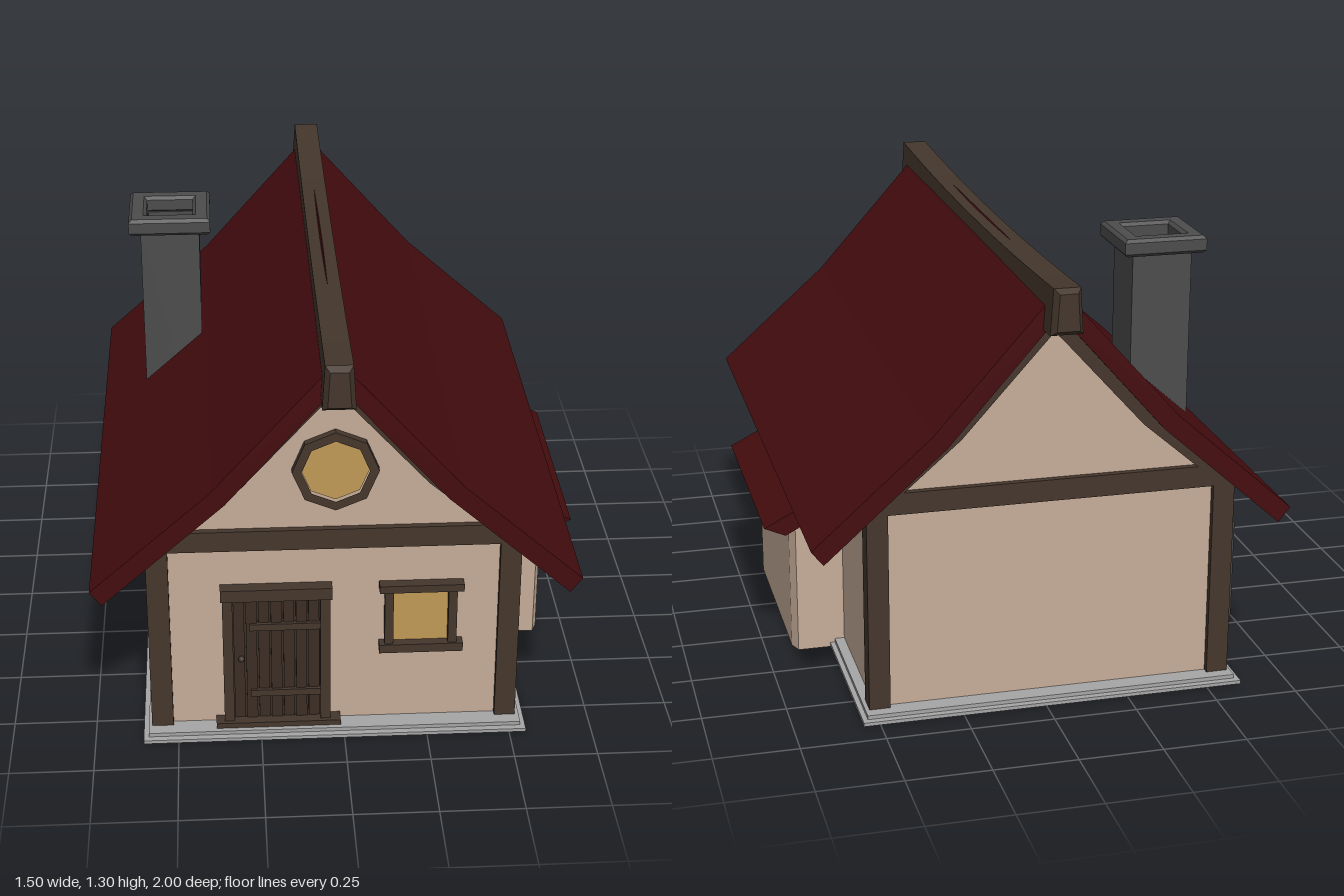
import * as THREE from 'three';

const mat = (name, color, side = THREE.FrontSide) => {
  const m = new THREE.MeshStandardMaterial({ color, side });
  m.name = name;
  return m;
};

export function createModel() {
  const root = new THREE.Group();
  root.name = 'cottage';
  const plaster = mat('plaster', 0xc6ad99);
  const timber = mat('timber', 0x44362c);
  const doorWood = mat('doorWood', 0x3b2d24);
  const tiles = mat('roofTiles', 0x450c0f);
  const stone = mat('chimneyStone', 0x4c4c4c, THREE.DoubleSide);
  const slab = mat('plinthStone', 0xa6a6a6);
  const glass = mat('glass', 0xc09a56);
  const CX = -0.025; // centre line of the house

  const add = (name, geo, material, parent = root) => {
    const m = new THREE.Mesh(geo, material);
    m.name = name;
    parent.add(m);
    return m;
  };
  // box given by its limits
  const box = (name, material, [x0, x1], [y0, y1], [z0, z1], parent) => {
    const g = new THREE.BoxGeometry(x1 - x0, y1 - y0, z1 - z0);
    g.translate((x0 + x1) / 2, (y0 + y1) / 2, (z0 + z1) / 2);
    return add(name, g, material, parent);
  };
  const poly = (pts) => new THREE.Shape(pts.map((p) => new THREE.Vector2(...p)));
  const prism = (shape, z0, z1) =>
    new THREE.ExtrudeGeometry(shape, { depth: z1 - z0, bevelEnabled: false, curveSegments: 6 }).translate(0, 0, z0);
  // half profile from ridge to eave, mirrored about the centre line
  const mirrored = (half) => [
    ...half.slice().reverse().map(([x, y]) => [CX + x, y]),
    ...half.filter(([x]) => x > 0).map(([x, y]) => [CX - x, y]),
  ];
  // flat-shaded loft through rings that run counter-clockwise seen from above
  const loft = (rings, skip = '') => {
    const pos = [];
    const tri = (...ps) => ps.forEach((p) => pos.push(...p));
    const n = rings[0].length;
    for (let r = 0; r < rings.length - 1; r++) {
      for (let i = 0; i < n; i++) {
        if (`${r}:${i}` === skip) continue;
        const j = (i + 1) % n;
        const [a, b, c, d] = [rings[r][i], rings[r][j], rings[r + 1][j], rings[r + 1][i]];
        tri(a, b, c);
        tri(a, c, d);
      }
    }
    const top = rings[rings.length - 1], bot = rings[0];
    for (let i = 1; i < n - 1; i++) {
      tri(top[0], top[i], top[i + 1]);
      tri(bot[0], bot[i + 1], bot[i]);
    }
    const g = new THREE.BufferGeometry();
    g.setAttribute('position', new THREE.Float32BufferAttribute(pos, 3));
    g.computeVertexNormals();
    return g;
  };

  // plinth in two steps
  box('plinthLower', slab, [-0.605, 0.55], [0.003, 0.014], [-0.92, 0.88]);
  box('plinthUpper', slab, [-0.59, 0.535], [0.014, 0.026], [-0.9, 0.86]);

  // walls with both gables
  const wallHalf = [[0, 1.19], [0.31, 0.835], [0.53, 0.635], [0.53, 0.02]];
  add('walls', prism(poly(mirrored(wallHalf)), -0.845, 0.8), plaster);

  // roof
  const roofTop = [[0, 1.28], [0.36, 0.875], [0.715, 0.56]];
  const roofUnder = [[0, 1.2], [0.32, 0.835], [0.68, 0.515]];
  const roofPts = [...mirrored(roofTop), ...mirrored(roofUnder).reverse()];
  add('roof', prism(poly(roofPts), -0.91, 0.91), tiles);

  // sagging ridge beam with chamfered edges
  const ridgeShape = poly([[-0.033, 1.155], [0.033, 1.155], [0.026, 1.262], [-0.026, 1.262]]);
  const ridge = new THREE.ExtrudeGeometry(ridgeShape, {
    depth: 1.96, steps: 12, bevelThickness: 0.02, bevelSize: 0.014, bevelSegments: 1,
  }).translate(CX, 0, -0.98);
  const rp = ridge.attributes.position;
  for (let i = 0; i < rp.count; i++) rp.setY(i, rp.getY(i) + 0.024 * rp.getZ(i) ** 2);
  ridge.computeVertexNormals();
  add('ridgeBeam', ridge, timber);

  // timber framing of both ends
  const rafterIn = [[0, 1.14], [0.27, 0.84], [0.45, 0.685]];
  const rafterOut = [[0, 1.2], [0.32, 0.835], [0.5, 0.675]];
  const rafterPts = [...mirrored(rafterOut), ...mirrored(rafterIn).reverse()];
  const tie = mirrored([[0.48, 0.695], [0.553, 0.63]]);
  const tiePts = [tie[0], tie[1], tie[2], tie[3]];
  for (const [end, z0, z1] of [['front', 0.765, 0.82], ['back', -0.865, -0.8]]) {
    add(`${end}Rafters`, prism(poly(rafterPts), z0, z1), timber);
    add(`${end}TieBeam`, prism(poly(tiePts), z0, z1), timber);
    box(`${end}RightPost`, timber, [-0.58, -0.515], [0.024, 0.635], [z0, z1]);
    box(`${end}LeftPost`, timber, [0.46, 0.523], [0.024, 0.635], [z0, z1]);
  }

  // octagonal gable window
  const octagon = (r) => Array.from({ length: 8 }, (_, i) => {
    const a = (i * Math.PI) / 4;
    return [CX + r * Math.sin(a), 0.887 + r * Math.cos(a)];
  });
  const ring = poly(octagon(0.126));
  ring.holes.push(new THREE.Path(octagon(0.098).map((p) => new THREE.Vector2(...p))));
  add('gableWindowFrame', prism(ring, 0.795, 0.825), timber);
  add('gableWindowGlass', prism(poly(octagon(0.1)), 0.799, 0.806), glass);

  // front window
  const win = new THREE.Group();
  win.name = 'frontWindow';
  root.add(win);
  box('windowGlass', glass, [0.14, 0.32], [0.29, 0.49], [0.799, 0.806], win);
  box('windowSill', timber, [0.105, 0.355], [0.272, 0.3], [0.795, 0.835], win);
  box('windowHead', timber, [0.105, 0.355], [0.48, 0.504], [0.795, 0.835], win);
  for (const x of [0.121, 0.31]) box('windowJamb', timber, [x, x + 0.026], [0.3, 0.48], [0.795, 0.828], win);

  // plank door
  const door = new THREE.Group();
  door.name = 'door';
  root.add(door);
  box('threshold', timber, [-0.385, -0.01], [0.025, 0.043], [0.795, 0.845], door);
  box('lintel', timber, [-0.365, -0.035], [0.468, 0.507], [0.795, 0.84], door);
  for (const x of [-0.36, -0.07]) box('doorJamb', timber, [x, x + 0.03], [0.04, 0.47], [0.795, 0.832], door);
  box('doorBack', doorWood, [-0.33, -0.07], [0.04, 0.47], [0.795, 0.806], door);
  const planks = 7, pw = 0.26 / planks;
  for (let i = 0; i < planks; i++) {
    const x = -0.33 + i * pw;
    box('plank', doorWood, [x + 0.002, x + pw - 0.003], [0.045, 0.468], [0.8, 0.815 + 0.003 * (i % 2)], door);
  }
  for (const y of [0.125, 0.358]) box('crossBar', timber, [-0.28, -0.07], [y, y + 0.022], [0.81, 0.826], door);
  add('doorKnob', new THREE.SphereGeometry(0.01, 8, 6).translate(-0.306, 0.26, 0.825), timber, door);

  // side bay with its lean-to roof
  const bayPlan = [[0.365, 0.32], [0.65, 0.32], [0.665, 0.285], [0.665, -0.325], [0.65, -0.365], [0.365, -0.365]];
  add('bay', loft([
    bayPlan.map(([x, z]) => [x, 0, z]),
    bayPlan.map(([x, z]) => [x, 0.42 + (0.665 - x) * 0.52, z]),
  ]), plaster);
  const bayRoof = poly([[0.42, 0.61], [0.42, 0.545], [0.52, 0.49], [0.685, 0.403], [0.75, 0.432], [0.52, 0.55]]);
  add('bayRoof', prism(bayRoof, -0.4, 0.35), tiles);

  // hearth: chamfered base tapering up to the shaft, with an arched opening
  const CZ = -0.3;
  const hearthRing = (y, x, w, c) => [
    [-0.5, y, CZ - w], [x + c, y, CZ - w], [x, y, CZ - w + c],
    [x, y, CZ + w - c], [x + c, y, CZ + w], [-0.5, y, CZ + w],
  ];
  add('hearth', loft([
    hearthRing(0, -0.75, 0.175, 0.03),
    hearthRing(0.32, -0.75, 0.175, 0.03),
    hearthRing(0.62, -0.59, 0.096, 0.008),
  ], '0:2'), stone);
  const face = poly([[-0.145, 0], [0.145, 0], [0.145, 0.32], [-0.145, 0.32]]);
  const arch = new THREE.Path();
  arch.moveTo(-0.1, 0.025);
  arch.lineTo(0.1, 0.025);
  arch.lineTo(0.1, 0.075);
  arch.absellipse(0, 0.075, 0.1, 0.08, 0, Math.PI, false);
  arch.lineTo(-0.1, 0.025);
  face.holes.push(arch);
  add('hearthFace', prism(face, 0, 0.02).rotateY(-Math.PI / 2).translate(-0.73, 0, CZ), stone);
  box('hearthFloor', stone, [-0.735, -0.55], [0.004, 0.024], [CZ - 0.14, CZ + 0.14]);

  // hollow chimney shaft and cap
  const squareTube = (outer, inner) => {
    const sq = (r) => [[-r, -r], [r, -r], [r, r], [-r, r]];
    const s = poly(sq(outer));
    s.holes.push(new THREE.Path(sq(inner).map((p) => new THREE.Vector2(...p))));
    return s;
  };
  const shaft = prism(squareTube(0.094, 0.072), 0.4, 1.22).rotateX(-Math.PI / 2);
  add('chimneyShaft', shaft.translate(-0.498, 0, CZ), stone);
  const cap = new THREE.ExtrudeGeometry(squareTube(0.12, 0.084), {
    depth: 0.035, bevelThickness: 0.01, bevelSize: 0.01, bevelSegments: 1,
  }).rotateX(-Math.PI / 2);
  add('chimneyCap', cap.translate(-0.498, 1.225, CZ), stone);
  box('flueFloor', stone, [-0.575, -0.42], [1.07, 1.08], [CZ - 0.077, CZ + 0.077]);

  return root;
}
